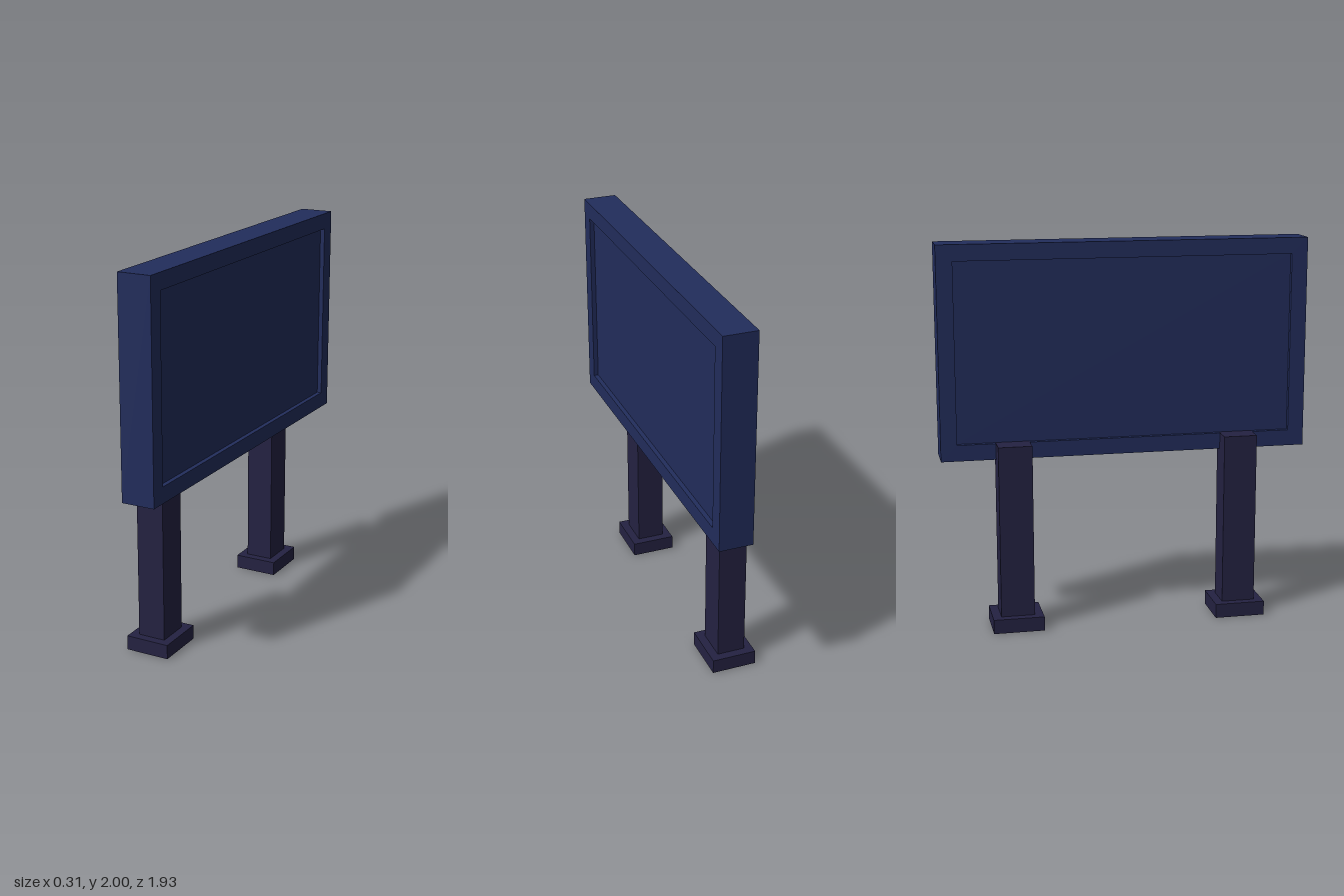
import * as THREE from 'three';

export function createModel() {
  const group = new THREE.Group();
  const navy = new THREE.MeshStandardMaterial({ name: 'navy board', color: 0x222d5c });
  const dark = new THREE.MeshStandardMaterial({ name: 'dark post', color: 0x242242 });

  function add(name, geometry, material, x, y, z) {
    const mesh = new THREE.Mesh(geometry, material);
    mesh.name = name;
    mesh.position.set(x, y, z);
    group.add(mesh);
  }

  // rectangle path centred on the origin
  function rectangle(path, w, h) {
    return path.moveTo(-w / 2, -h / 2).lineTo(w / 2, -h / 2)
      .lineTo(w / 2, h / 2).lineTo(-w / 2, h / 2).closePath();
  }

  // board: a thick frame around a panel recessed on both faces
  const boardX = 0.068, boardY = 1.448, thickness = 0.175, recess = 0.024;
  const outline = rectangle(new THREE.Shape(), 1.926, 1.105);
  outline.holes.push(rectangle(new THREE.Path(), 1.758, 0.937));
  const frame = new THREE.ExtrudeGeometry(outline, { depth: thickness, bevelEnabled: false });
  frame.translate(0, 0, -thickness / 2).rotateY(Math.PI / 2);
  add('boardFrame', frame, navy, boardX, boardY, 0);
  add('boardPanel', new THREE.BoxGeometry(thickness - 2 * recess, 0.937, 1.758), navy, boardX, boardY, 0);

  // two posts on square feet, set behind the board
  for (const [side, s] of [['front', 1], ['back', -1]]) {
    add(side + 'Post', new THREE.BoxGeometry(0.146, 0.905, 0.175), dark, -0.041, 0.5275, s * 0.593);
    add(side + 'Foot', new THREE.BoxGeometry(0.233, 0.075, 0.265), dark, -0.041, 0.0375, s * 0.593);
  }
  return group;
}
